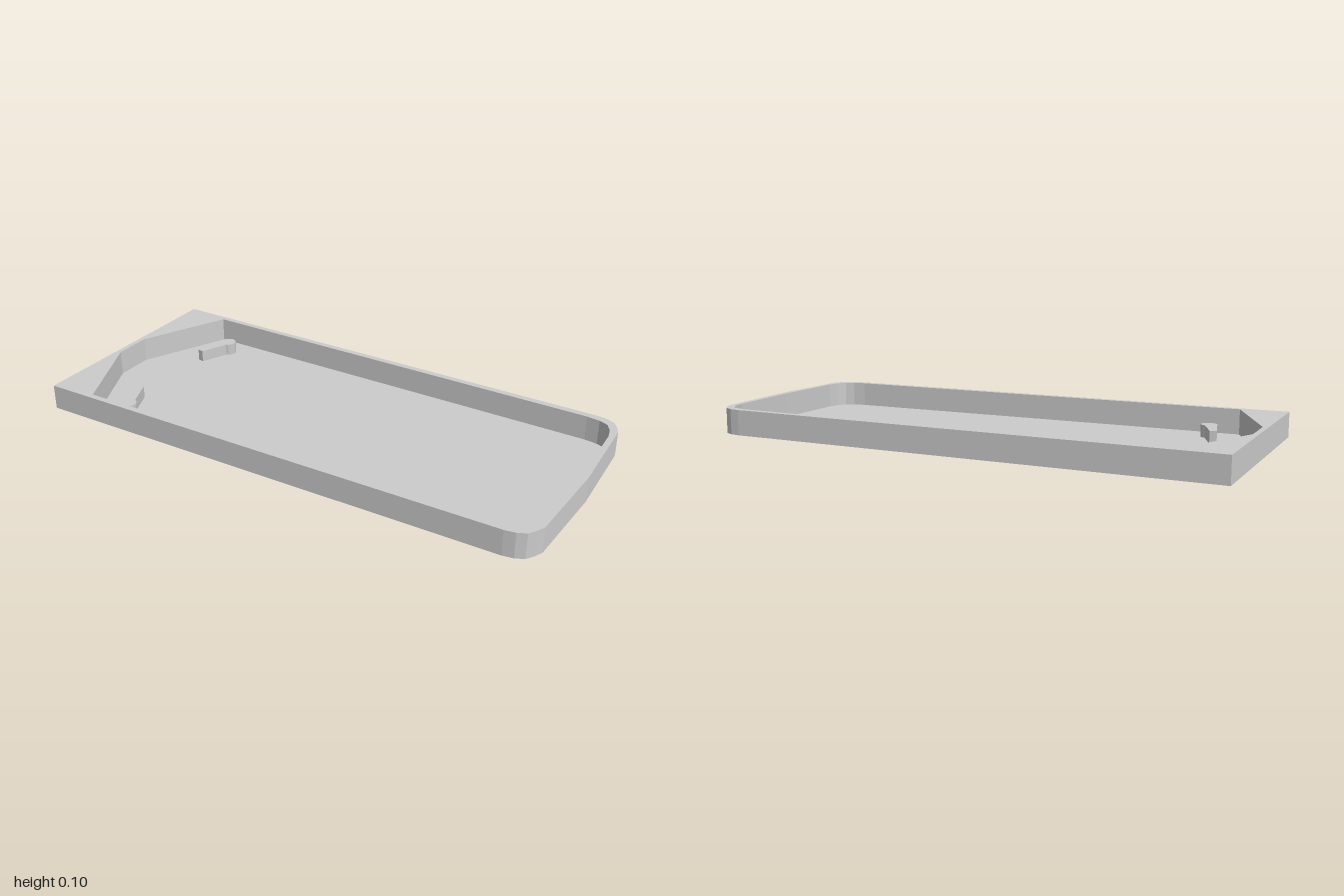
import * as THREE from 'three';

const material = new THREE.MeshStandardMaterial({
  color: 0xcccccc, flatShading: true, side: THREE.DoubleSide,
});
const HEIGHT = 0.097;
const PEG_HEIGHT = 0.047;

// Half outlines (x, z >= 0), from the square end to the rounded end
const outerHalf = [[-1, 0.44], [0.88, 0.428], [0.92, 0.422], [0.952, 0.406],
  [0.97, 0.38], [0.985, 0.348], [1, 0]];
const innerHalf = [[-0.98, 0.075], [-0.82, 0.416], [0.85, 0.402], [0.9, 0.395],
  [0.935, 0.38], [0.955, 0.345], [0.965, 0.3], [0.975, 0]];

// Mirror a half outline across z = 0 into a closed loop
function mirrorLoop(half) {
  const back = half.slice(0, -1).reverse().map(([x, z]) => [x, -z]);
  return [...half, ...back].map(([x, z]) => new THREE.Vector2(x, z));
}

// Upright band following a closed loop; flip turns its faces inward
function wall(loop, flip) {
  const pos = [], index = [];
  loop.forEach((p, i) => {
    const q = loop[(i + 1) % loop.length];
    const b = i * 4;
    pos.push(p.x, 0, p.y, q.x, 0, q.y, q.x, HEIGHT, q.y, p.x, HEIGHT, p.y);
    if (flip) index.push(b, b + 1, b + 2, b, b + 2, b + 3);
    else index.push(b, b + 2, b + 1, b, b + 3, b + 2);
  });
  const g = new THREE.BufferGeometry();
  g.setAttribute('position', new THREE.Float32BufferAttribute(pos, 3));
  g.setIndex(index);
  g.computeVertexNormals();
  return g;
}

// Lay a shape flat, facing up, at a given height
const flat = (shape, y) => new THREE.ShapeGeometry(shape).rotateX(-Math.PI / 2).translate(0, y, 0);

// Keyhole-shaped peg: tapered arm with a round head
function pegGeometry(side) {
  const cx = -0.727, cz = 0.325, r = 0.031;
  const pts = [new THREE.Vector2(-0.765, 0.19 * side), new THREE.Vector2(-0.79, 0.196 * side)];
  const start = Math.PI * 0.98, end = -Math.PI * 0.42;
  for (let i = 0; i <= 12; i++) {
    const a = start + (end - start) * i / 12;
    pts.push(new THREE.Vector2(cx + r * Math.cos(a), side * (cz + r * Math.sin(a))));
  }
  return new THREE.ExtrudeGeometry(new THREE.Shape(pts), { depth: PEG_HEIGHT, bevelEnabled: false })
    .rotateX(-Math.PI / 2);
}

export function createModel() {
  const group = new THREE.Group();
  group.name = 'tray';
  const add = (name, geometry) => {
    const mesh = new THREE.Mesh(geometry, material);
    mesh.name = name;
    group.add(mesh);
  };
  const outer = mirrorLoop(outerHalf);
  const inner = mirrorLoop(innerHalf);

  // Hollow rim, open underneath
  const rim = new THREE.Shape(outer);
  rim.holes.push(new THREE.Path(inner));
  add('rimTop', flat(rim, HEIGHT));
  add('outerWall', wall(outer, false));
  add('innerWall', wall(inner, true));

  // Floor within the inner wall
  add('floor', flat(new THREE.Shape(inner), 0));

  // Mirrored pegs near the square end
  add('leftPeg', pegGeometry(1));
  add('rightPeg', pegGeometry(-1));
  return group;
}
